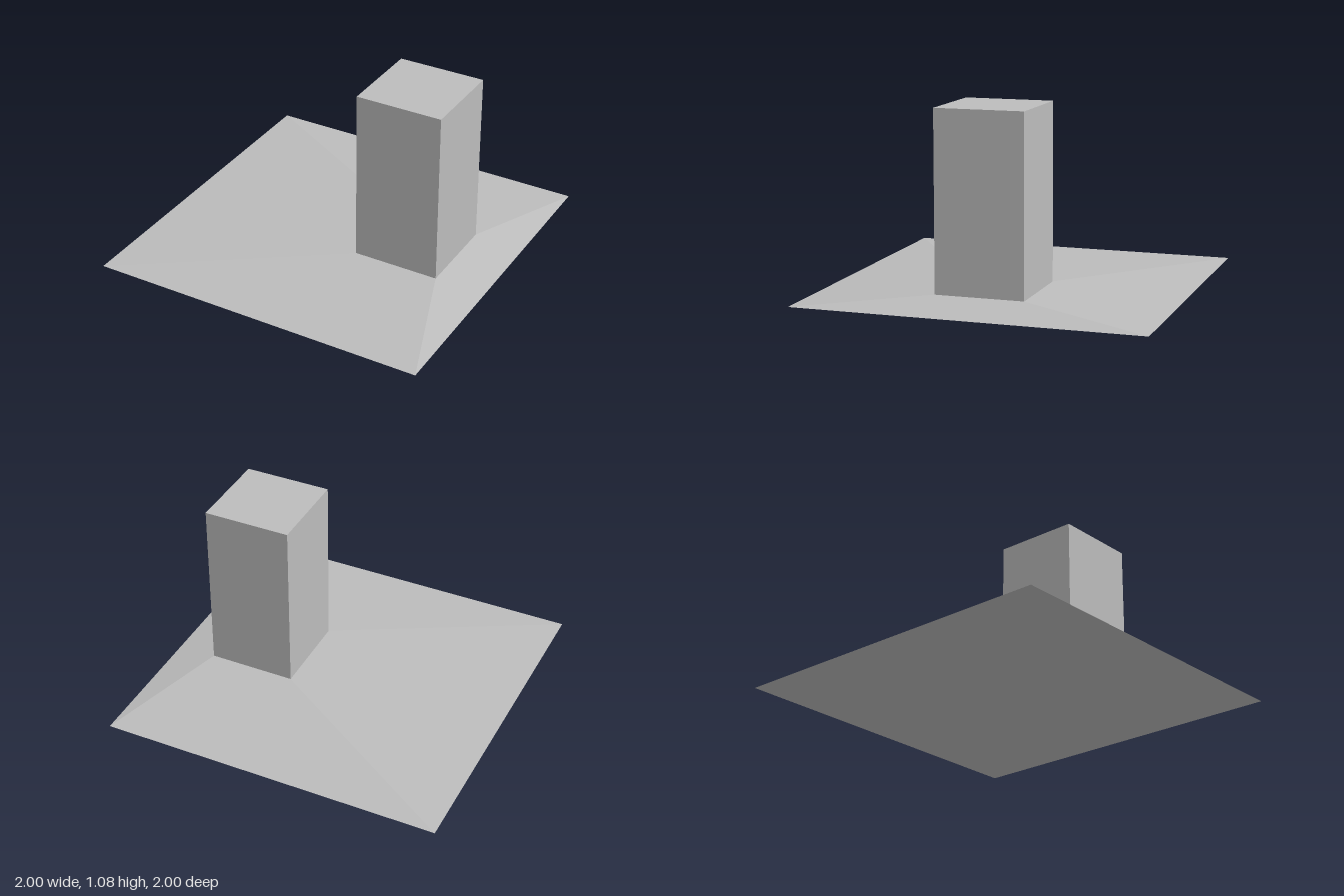
import * as THREE from 'three';

const TOWER = { x: 0.481, width: 0.508, bottom: 0.064, top: 1.078 };

export function createModel() {
  const model = new THREE.Group();
  const grey = new THREE.MeshStandardMaterial({ color: 0xbcbcbc });
  grey.name = 'grey';

  // Shallow sloped base: a box whose top face shrinks to the tower's footprint
  const slope = new THREE.BoxGeometry(2, TOWER.bottom, 2);
  slope.translate(0, TOWER.bottom / 2, 0);
  const pos = slope.attributes.position;
  for (let i = 0; i < pos.count; i++) {
    if (pos.getY(i) < TOWER.bottom / 2) continue;
    pos.setX(i, TOWER.x + pos.getX(i) * TOWER.width / 2);
    pos.setZ(i, pos.getZ(i) * TOWER.width / 2);
  }
  slope.computeVertexNormals();
  const base = new THREE.Mesh(slope, grey);
  base.name = 'slopedBase';
  model.add(base);

  // Square tower standing off-centre on the base
  const height = TOWER.top - TOWER.bottom;
  const tower = new THREE.Mesh(new THREE.BoxGeometry(TOWER.width, height, TOWER.width), grey);
  tower.position.set(TOWER.x, TOWER.bottom + height / 2, 0);
  tower.name = 'tower';
  model.add(tower);

  return model;
}
